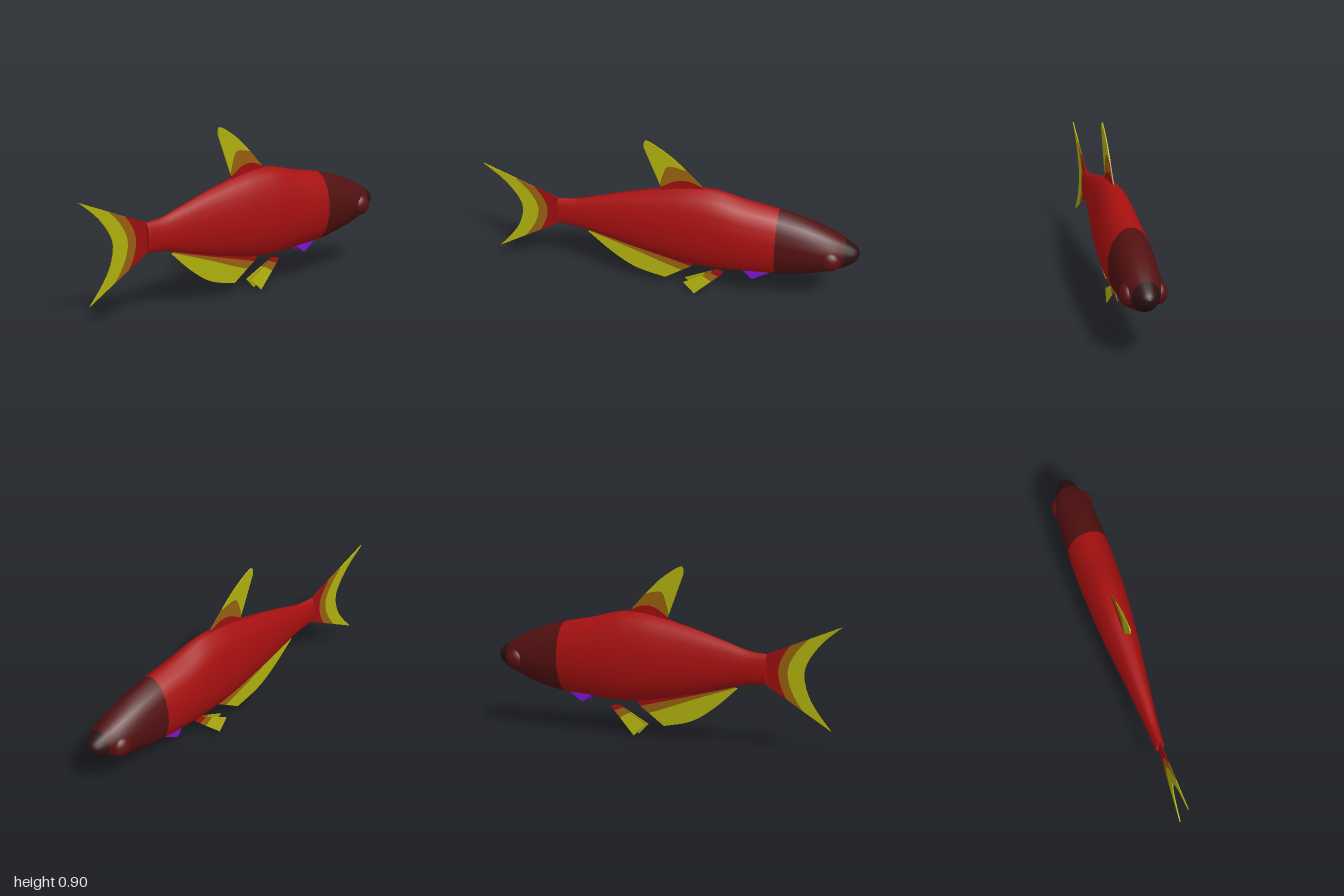
import * as THREE from 'three';

const mat = (name, color, side = THREE.FrontSide) => {
  const m = new THREE.MeshStandardMaterial({ color, side });
  m.name = name;
  return m;
};

// Body stations from tail to snout: x, bottom, top, half width
const STATIONS = [
  [-0.6, 0.33, 0.485, 0.024], [-0.5, 0.323, 0.495, 0.031], [-0.4, 0.303, 0.525, 0.041],
  [-0.2, 0.252, 0.585, 0.063], [0, 0.21, 0.635, 0.086], [0.12, 0.192, 0.656, 0.097],
  [0.25, 0.187, 0.656, 0.106], [0.4, 0.195, 0.62, 0.112], [0.575, 0.209, 0.587, 0.111],
  [0.7, 0.23, 0.555, 0.108], [0.8, 0.258, 0.518, 0.102], [0.87, 0.284, 0.487, 0.09],
  [0.925, 0.306, 0.458, 0.067], [0.97, 0.337, 0.43, 0.046], [0.99, 0.36, 0.413, 0.028],
  [1, 0.383, 0.395, 0.007],
];
const HEAD = 8, SNOUT = 12, STEPS = 4, SIDES = 16;

// Lofted elliptical rings, with one group per colour zone
function bodyGeometry() {
  const heights = new THREE.CatmullRomCurve3(
    STATIONS.map(s => new THREE.Vector3(s[0], s[1], s[2])), false, 'catmullrom');
  const widths = new THREE.CatmullRomCurve3(
    STATIONS.map(s => new THREE.Vector3(s[0], s[3], 0)), false, 'catmullrom');
  const rows = (STATIONS.length - 1) * STEPS;
  const pos = [], index = [], k = Math.cos(Math.PI / SIDES);
  for (let i = 0; i <= rows; i++) {
    const h = heights.getPoint(i / rows), w = widths.getPoint(i / rows).y;
    const mid = (h.y + h.z) / 2, ry = (h.z - h.y) / 2 / k;
    for (let j = 0; j < SIDES; j++) {
      const a = (j + 0.5) / SIDES * Math.PI * 2;
      pos.push(h.x, mid + ry * Math.cos(a), w * Math.sin(a));
    }
  }
  for (let i = 0; i < rows; i++) {
    for (let j = 0; j < SIDES; j++) {
      const a = i * SIDES + j, b = i * SIDES + (j + 1) % SIDES;
      index.push(a, b, a + SIDES, b, b + SIDES, a + SIDES);
    }
  }
  // Snout tip cap
  for (let j = 1; j < SIDES - 1; j++) {
    const o = rows * SIDES;
    index.push(o, o + j, o + j + 1);
  }
  const g = new THREE.BufferGeometry();
  g.setAttribute('position', new THREE.Float32BufferAttribute(pos, 3));
  g.setIndex(index);
  g.computeVertexNormals();
  const perStation = STEPS * SIDES * 6;
  g.addGroup(0, HEAD * perStation, 0);
  g.addGroup(HEAD * perStation, (SNOUT - HEAD) * perStation, 1);
  g.addGroup(SNOUT * perStation, index.length - SNOUT * perStation, 2);
  return g;
}

const smooth = (row, n = 16) =>
  new THREE.SplineCurve(row.map(p => new THREE.Vector2(...p))).getPoints(n);

// Thin plate filling the space between two curved rows
function band(rowA, rowB, depth = 0.006) {
  const shape = new THREE.Shape([...smooth(rowA), ...smooth(rowB).reverse()]);
  return new THREE.ExtrudeGeometry(shape, { depth, bevelEnabled: false }).translate(0, 0, -depth / 2);
}

// Fin made of coloured bands between successive rows
function fin(name, rows, mats, zRule) {
  const group = new THREE.Group();
  group.name = name;
  mats.forEach((m, i) => {
    const g = band(rows[i], rows[i + 1]);
    if (zRule) {
      const p = g.attributes.position;
      for (let v = 0; v < p.count; v++) p.setZ(v, p.getZ(v) + zRule(p.getY(v)));
      g.computeVertexNormals();
    }
    const mesh = new THREE.Mesh(g, m);
    mesh.name = name + 'Band' + (i + 1);
    group.add(mesh);
  });
  return group;
}

const mixRows = (a, b, t) =>
  a.map((p, i) => [p[0] + (b[i][0] - p[0]) * t, p[1] + (b[i][1] - p[1]) * t]);

export function createModel() {
  const red = mat('body red', 0xa81010);
  const maroon = mat('head maroon', 0x521010);
  const black = mat('snout black', 0x2c1010);
  const eyeRed = mat('eye red', 0x581010);
  const finRed = mat('fin red', 0x9c0e0e, THREE.DoubleSide);
  const brown = mat('fin brown', 0x96600e, THREE.DoubleSide);
  const olive = mat('fin olive', 0xb0b00e, THREE.DoubleSide);
  const purple = mat('pectoral purple', 0x7010c0, THREE.DoubleSide);
  const finMats = [finRed, brown, olive];

  const fish = new THREE.Group();
  fish.name = 'fish';

  const body = new THREE.Mesh(bodyGeometry(), [red, maroon, black]);
  body.name = 'body';
  fish.add(body);

  // Closed end of the tail stalk
  const stalkEnd = new THREE.Mesh(new THREE.CircleGeometry(1, SIDES), red);
  stalkEnd.name = 'tailStalkEnd';
  stalkEnd.scale.set(0.024, 0.078, 1);
  stalkEnd.rotation.y = -Math.PI / 2;
  stalkEnd.position.set(-0.6, 0.4075, 0);
  fish.add(stalkEnd);

  // Forked tail
  const tailBase = [0.485, 0.46, 0.435, 0.408, 0.38, 0.355, 0.33].map(y => [-0.598, y]);
  const tailTip = [[-1, 0.645], [-0.895, 0.56], [-0.825, 0.47], [-0.8, 0.395],
    [-0.82, 0.3], [-0.87, 0.215], [-0.945, 0.125]];
  fish.add(fin('tailFin', [tailBase, mixRows(tailBase, tailTip, 0.32),
    mixRows(tailBase, tailTip, 0.57), tailTip], finMats));

  // Back fin
  fish.add(fin('dorsalFin', [
    [[-0.04, 0.625], [0.03, 0.64], [0.11, 0.65], [0.18, 0.655]],
    [[-0.042, 0.64], [0.03, 0.685], [0.1, 0.695], [0.175, 0.67]],
    [[-0.047, 0.655], [-0.03, 0.72], [0, 0.77], [0.09, 0.757]],
    [[-0.13, 0.865], [-0.125, 0.903], [-0.085, 0.893], [0.01, 0.83], [0.09, 0.757]],
  ], finMats));

  // Long belly fin
  fish.add(fin('analFin', [
    [[-0.42, 0.305], [-0.2, 0.25], [0, 0.21], [0.14, 0.185]],
    [[-0.425, 0.303], [-0.2, 0.243], [0, 0.192], [0.12, 0.16]],
    [[-0.43, 0.301], [-0.2, 0.223], [-0.05, 0.168], [0.07, 0.127]],
    [[-0.44, 0.297], [-0.31, 0.185], [-0.18, 0.105], [-0.02, 0.065]],
  ], finMats));

  // Paired parts
  const pelvicBase = [[0.255, 0.155], [0.295, 0.148]];
  const pelvicTip = [[0.085, 0.062], [0.145, 0.004]];
  for (const [side, s] of [['left', 1], ['right', -1]]) {
    // The fish faces +x, so its own left is at -z
    const z = -s;
    fish.add(fin(side + 'PelvicFin', [pelvicBase, mixRows(pelvicBase, pelvicTip, 0.15),
      mixRows(pelvicBase, pelvicTip, 0.4), pelvicTip], finMats,
    y => z * (0.008 + (0.155 - y) * 0.14)));

    fish.add(fin(side + 'PectoralFin', [
      [[0.4, 0.205], [0.54, 0.205]], [[0.45, 0.162], [0.46, 0.162]],
    ], [purple], y => z * (0.024 + (0.205 - y) * 0.25)));

    const eye = new THREE.Mesh(new THREE.SphereGeometry(1, 24, 16), eyeRed);
    eye.name = side + 'Eye';
    eye.scale.set(0.057, 0.057, 0.04);
    eye.position.set(0.855, 0.37, z * 0.075);
    fish.add(eye);
  }
  return fish;
}
